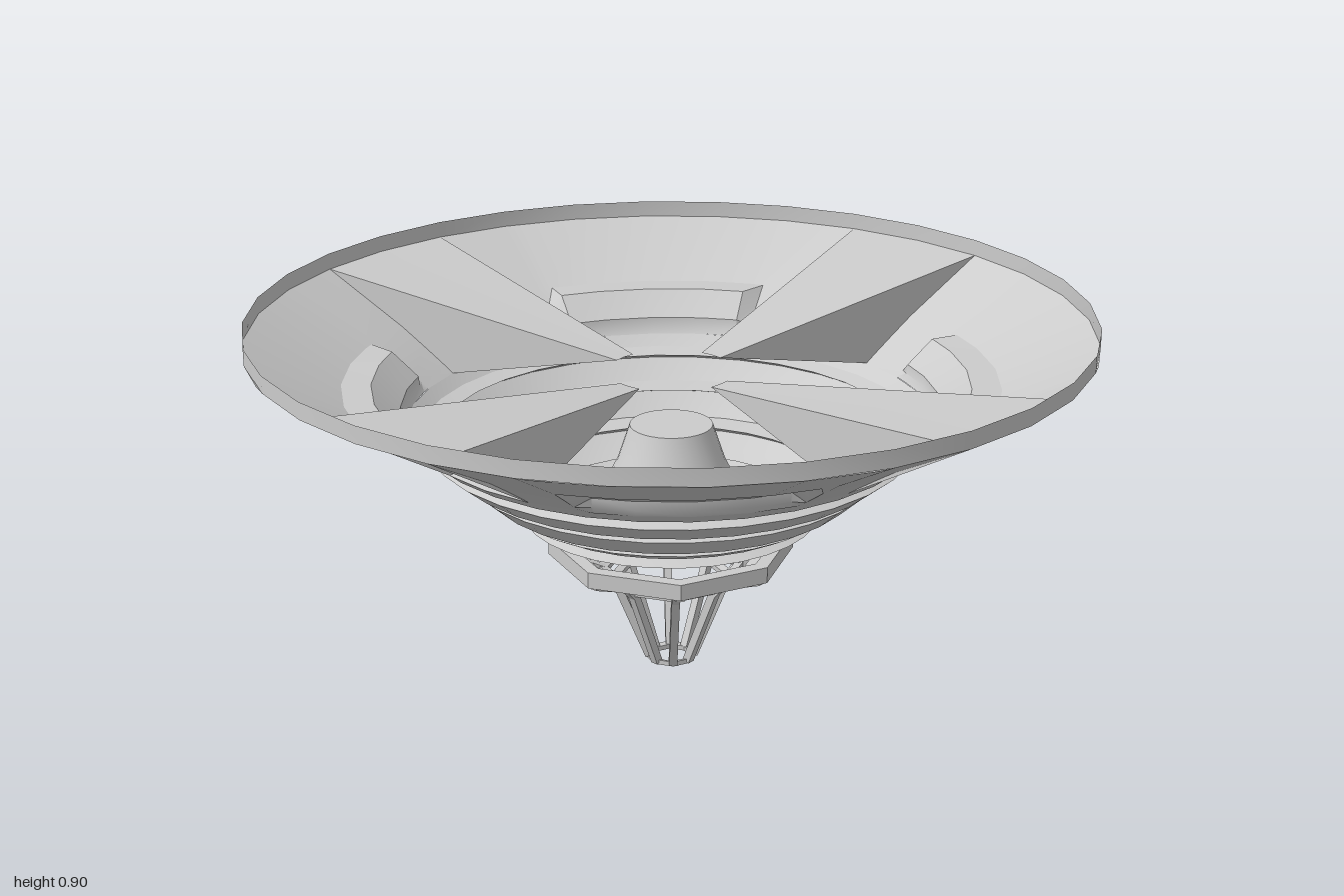
import * as THREE from 'three';
import { toCreasedNormals } from 'three/addons/utils/BufferGeometryUtils.js';

const material = new THREE.MeshStandardMaterial({ color: 0xcccccc, side: THREE.DoubleSide });
const flatMaterial = material.clone();
flatMaterial.flatShading = true;

const STEP = Math.PI / 16; // one side of the 32-sided dish
const RIM = [1, 0.857];    // lower edge of the rim: radius, height
const WAIST = [0.63, 0.64]; // where the dish meets the terraced hull

// Point at radius r, height y, turned by angle a about the axis
const polar = (a, [r, y]) => new THREE.Vector3(Math.sin(a) * r, y, Math.cos(a) * r);

function addMesh(parent, name, geometry, mat = material) {
  const mesh = new THREE.Mesh(geometry, mat);
  mesh.name = name;
  parent.add(mesh);
  return mesh;
}

// Surface swept through one profile per angle, all with equal point counts
function skin(angles, profileAt) {
  const sections = angles.map((a) => profileAt(a).map((p) => polar(a, p)));
  const n = sections[0].length;
  const index = [];
  for (let i = 0; i < sections.length - 1; i++) {
    for (let j = 0; j < n - 1; j++) {
      const a = i * n + j, b = a + n;
      index.push(a, b, a + 1, b, b + 1, a + 1);
    }
  }
  const geometry = new THREE.BufferGeometry().setFromPoints(sections.flat());
  geometry.setIndex(index);
  return toCreasedNormals(geometry, 0.45);
}

function lathe(profile, sides, crease = 0.45) {
  const points = profile.map(([r, y]) => new THREE.Vector2(r, y));
  return toCreasedNormals(new THREE.LatheGeometry(points, sides), crease);
}

// Square bar between two points
function bar(parent, name, from, to, width) {
  const mesh = addMesh(parent, name, new THREE.BoxGeometry(width, width, from.distanceTo(to)), flatMaterial);
  mesh.position.copy(from).add(to).multiplyScalar(0.5);
  mesh.lookAt(to);
}

// Quarter of the thin dish wall, with a shallow recess pressed into its lower half
function dishPanel() {
  const angles = [-3, -2, -1.75, -1, 0, 1, 1.75, 2, 3].map((k) => k * STEP);
  const plain = [WAIST, [0.65, 0.654], [0.665, 0.664], [0.72, 0.7], [0.78, 0.738], RIM];
  const recess = [WAIST, [0.64, 0.657], [0.643, 0.68], [0.71, 0.738], [0.78, 0.739], RIM];
  const mesh = new THREE.Mesh(
    skin(angles, (a) => (Math.abs(a) < 1.9 * STEP ? recess : plain)), material);
  mesh.name = 'dishPanel';
  return mesh;
}

// Hollow radial wedge, open towards the outside below the rim
function buttress() {
  const group = new THREE.Group();
  group.name = 'buttress';
  const tip = [0.15, 0.755];
  const angles = [-STEP, 0, STEP];
  addMesh(group, 'buttressTop', skin(angles, () => [RIM, tip]));
  addMesh(group, 'buttressFloor', skin(angles, () => [tip, WAIST]));
  for (const a of [-STEP, STEP]) {
    const side = new THREE.BufferGeometry().setFromPoints([RIM, tip, WAIST].map((p) => polar(a, p)));
    side.computeVertexNormals();
    addMesh(group, 'buttressSide', side);
  }
  return group;
}

// Eight-sided open cage hanging under the hull
function cage() {
  const group = new THREE.Group();
  group.name = 'cage';
  addMesh(group, 'cageTopBand',
    lathe([[0.265, 0.285], [0.3, 0.29], [0.3, 0.33], [0.265, 0.33], [0.265, 0.285]], 8, 0.3));

  // Thin octagonal hoops, tilted inwards: radius, height, width
  const hoops = [[0.235, 0.272, 0.035], [0.18, 0.252, 0.025], [0.15, 0.224, 0.02], [0.062, 0.01, 0.014]];
  for (const [r, y, w] of hoops) {
    const t = 0.006, drop = w * 0.25;
    addMesh(group, 'cageHoop', lathe([
      [r - w, y - drop - t], [r, y - t], [r, y + t], [r - w, y - drop + t], [r - w, y - drop - t],
    ], 8, 0.3));
  }

  // Ribs follow the flare, then taper to the bottom hoop
  const rib = [[0.28, 0.29], [0.165, 0.245], [0.138, 0.215], [0.055, 0.01]];
  for (let i = 0; i < 8; i++) {
    const points = rib.map((p) => polar(i * Math.PI / 4, p));
    for (let j = 0; j < 3; j++) bar(group, 'cageRib', points[j], points[j + 1], 0.02);
  }
  return group;
}

export function createModel() {
  const model = new THREE.Group();
  model.name = 'station';

  // Thin upright band around the rim
  addMesh(model, 'rimBand', lathe([RIM, [1, 0.898]], 32));

  // Thin terraced hull with overhanging steps
  addMesh(model, 'terracedHull', lathe([
    [0.24, 0.37], [0.29, 0.37], [0.36, 0.4], [0.33, 0.412], [0.37, 0.428], [0.415, 0.453],
    [0.39, 0.468], [0.45, 0.475], [0.505, 0.525], [0.47, 0.538], [0.53, 0.545], [0.585, 0.59],
    [0.555, 0.605], [0.6, 0.615], WAIST,
  ], 32));

  // Flared cone rising inside the hull
  addMesh(model, 'centralCone', lathe([
    [0.24, 0.37], [0.2, 0.41], [0.165, 0.46], [0.13, 0.53], [0.1, 0.62], [0, 0.62],
  ], 32));

  for (let i = 0; i < 4; i++) {
    const panel = dishPanel();
    panel.rotation.y = i * Math.PI / 2;
    const wedge = buttress();
    wedge.rotation.y = (i + 0.5) * Math.PI / 2;
    model.add(panel, wedge);
  }

  model.add(cage());
  return model;
}
